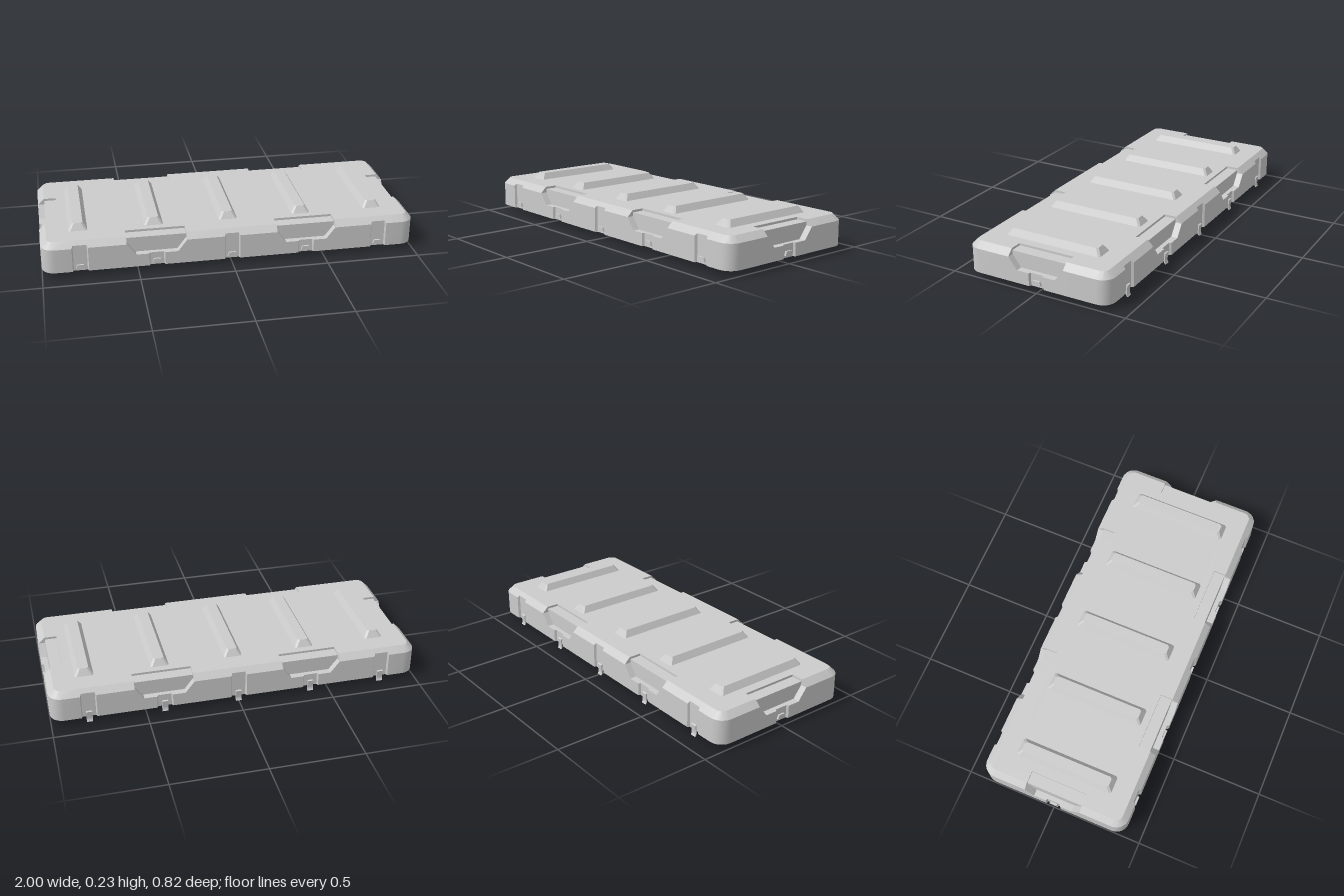
import * as THREE from 'three';
import { toCreasedNormals } from 'three/addons/utils/BufferGeometryUtils.js';

const HX = 1, HZ = 0.411, R = 0.07;          // half sizes and corner radius
const BOTTOM = 0.03, TOP = 0.195, SHOULDER = 0.163, BEVEL = 0.033;
const WALL = 0.02, GROOVE = 0.012;
const POCKET = { floor: 0.1, ledge: 0.183, face: 0.036, depth: 0.1 };
const STOPS = [-0.8, -0.4, 0, 0.4, 0.8];

const material = new THREE.MeshStandardMaterial({ color: 0xcccccc, roughness: 0.8 });

function addMesh(parent, geometry, name) {
  const mesh = new THREE.Mesh(geometry, material);
  mesh.name = name;
  parent.add(mesh);
  return mesh;
}

// Join equal-length loops of points into a skin, dropping empty triangles
function skin(rows, closed, flip = false) {
  const out = [], tri = new THREE.Triangle();
  const put = (a, b, c) => {
    tri.set(a, b, c);
    if (tri.getArea() < 1e-9) return;
    for (const p of flip ? [a, c, b] : [a, b, c]) out.push(p.x, p.y, p.z);
  };
  const n = rows.length;
  for (let j = 0; j < (closed ? n : n - 1); j++) {
    const a = rows[j], b = rows[(j + 1) % n];
    for (let i = 0; i < a.length - 1; i++) {
      put(a[i], b[i], b[i + 1]);
      put(a[i], b[i + 1], a[i + 1]);
    }
  }
  const g = new THREE.BufferGeometry();
  g.setAttribute('position', new THREE.Float32BufferAttribute(out, 3));
  return toCreasedNormals(g, 0.45);
}

// Wall section as [inset, y], from bottom edge to top edge
function section(groove, floor) {
  const slope = BEVEL / (TOP - SHOULDER);
  if (floor === undefined) {
    const rim = [POCKET.face, TOP];
    return [[groove, BOTTOM], [groove, SHOULDER + groove / slope], [BEVEL, TOP], rim, rim, rim, rim];
  }
  const { ledge, face, depth } = POCKET;
  return [[groove, BOTTOM], [groove, floor], [groove, floor], [face, floor],
    [face, ledge], [depth, ledge], [depth, TOP]];
}

// Inner skin first (top to bottom), then outer skin (bottom to top)
function shellSection(groove, floor) {
  const outer = section(groove, floor);
  const inner = outer.map(([i, y], k) => [i + WALL, k ? y - WALL : y]).reverse();
  return [...inner, ...outer];
}

// Stations [offset, groove, pocket floor] for one latch stop
function stopStations(c, hasPocket) {
  const f = hasPocket ? POCKET.floor : undefined;
  const half = [[0.042, 0, f], [0.036, GROOVE, f]];
  if (hasPocket) half.unshift([0.158, 0, undefined], [0.158, 0, SHOULDER], [0.11, 0, f]);
  const left = half.map(([s, g, y]) => [c - s, g, y]);
  const right = half.map(([s, g, y]) => [c + s, g, y]).reverse();
  return [...left, ...right];
}

function shellRows() {
  const rows = [];
  const row = (base, n, groove, floor) => rows.push(shellSection(groove, floor).map(([i, y]) =>
    new THREE.Vector3(base.x - n.x * i, y, base.z - n.z * i)));
  for (let k = 0; k < 4; k++) {
    const a = k * Math.PI / 2;
    const n = new THREE.Vector3(Math.round(Math.sin(a)), 0, Math.round(Math.cos(a)));
    const t = new THREE.Vector3(n.z, 0, -n.x);
    const long = k % 2 === 0;
    const D = long ? HZ : HX, L = long ? HX : HZ;
    const at = s => n.clone().multiplyScalar(D).addScaledVector(t, s);
    const stops = long ? STOPS : [0];
    for (const c of stops) {
      const hasPocket = !long || Math.abs(c) === 0.4;
      for (const [s, g, f] of stopStations(c, hasPocket)) row(at(s), n, g, f);
    }
    // Rounded corner
    const centre = n.clone().multiplyScalar(D - R).addScaledVector(t, L - R);
    for (let i = 0; i <= 6; i++) {
      const b = i / 6 * Math.PI / 2;
      const d = n.clone().multiplyScalar(Math.cos(b)).addScaledVector(t, Math.sin(b));
      row(centre.clone().addScaledVector(d, R), d, 0);
    }
  }
  return rows;
}

// Rectangle with clipped corners
function ribLoop(cx, hw, hl, y) {
  const c = 0.01;
  return [[hw, hl - c], [hw, c - hl], [hw - c, -hl], [c - hw, -hl],
    [-hw, c - hl], [-hw, hl - c], [c - hw, hl], [hw - c, hl]]
    .map(([x, z]) => new THREE.Vector3(cx + x, y, z));
}

function flatPanel(loop, holes, y, flip) {
  const to2 = p => new THREE.Vector2(p.x, -p.z);
  const pts = loop.filter((p, i) => p.distanceTo(loop[(i + 1) % loop.length]) > 1e-6).map(to2);
  const shape = new THREE.Shape(pts);
  shape.holes = holes.map(h => new THREE.Path(h.map(to2)));
  const g = new THREE.ShapeGeometry(shape).rotateX(-Math.PI / 2).translate(0, y, 0);
  if (flip) {
    g.index.array.reverse();
    const nrm = g.attributes.normal;
    for (let i = 0; i < nrm.count; i++) nrm.setY(i, -1);
  }
  return g;
}

// Hollow raised rib: skin of one side
function ribSkin(cx, grow, drop, flip) {
  const base = ribLoop(cx, 0.05 - grow, 0.273 - grow, TOP - drop);
  const top = ribLoop(cx, 0.028 - grow / 2, 0.25 - grow, 0.23 - drop);
  const mid = new THREE.Vector3(cx, 0.23 - drop, 0);
  return skin(base.map((p, i) => [p, top[i], mid]), true, flip);
}

// Small tapered catch inside a groove
function catchGeometry() {
  const shape = new THREE.Shape([[-0.026, 0.043], [0.026, 0.043], [0.018, 0.065], [-0.018, 0.065]]
    .map(p => new THREE.Vector2(...p)));
  const g = new THREE.ExtrudeGeometry(shape, { depth: 0.012, bevelEnabled: false });
  return g.translate(0, 0, -GROOVE - 0.002);
}

// Curved hinge strap hanging below the back edge
function hingeGeometry() {
  const shape = new THREE.Shape();
  shape.moveTo(-0.016, 0.065);
  shape.lineTo(-0.004, 0.06);
  shape.lineTo(-0.008, 0.02);
  shape.quadraticCurveTo(-0.008, 0.008, -0.002, 0);
  shape.lineTo(-0.007, 0);
  shape.quadraticCurveTo(-0.014, 0.008, -0.014, 0.02);
  shape.closePath();
  const g = new THREE.ExtrudeGeometry(shape, { depth: 0.032, bevelEnabled: false, curveSegments: 5 });
  return g.translate(0, 0, -0.016).rotateY(-Math.PI / 2);
}

export function createModel() {
  const model = new THREE.Group();
  model.name = 'caseLid';

  // Walls with pockets and grooves, inside and out
  const rows = shellRows();
  addMesh(model, skin(rows, true), 'lidWall');

  // Top panel and its underside, opened beneath the ribs
  const topHoles = STOPS.map(x => ribLoop(x, 0.05, 0.273, 0));
  const underHoles = STOPS.map(x => ribLoop(x, 0.044, 0.267, 0));
  addMesh(model, flatPanel(rows.map(r => r[r.length - 1]), topHoles, TOP, false), 'topPanel');
  addMesh(model, flatPanel(rows.map(r => r[0]), underHoles, TOP - WALL, true), 'topPanelUnderside');

  // Ribs, front catches and back hinges
  const catchShape = catchGeometry(), hingeShape = hingeGeometry();
  for (const x of STOPS) {
    addMesh(model, ribSkin(x, 0, 0, true), 'rib').geometry = orient(ribSkin, x, 0, 0, 1);
    addMesh(model, orient(ribSkin, x, 0.006, WALL, -1), 'ribUnderside');
    addMesh(model, catchShape, 'frontCatch').position.set(x, 0, HZ);
    const hinge = addMesh(model, hingeShape, 'backHinge');
    hinge.rotation.y = Math.PI;
    hinge.position.set(x, 0, -HZ);
  }

  // Catches at both ends
  for (const side of [-1, 1]) {
    const end = addMesh(model, catchShape, 'endCatch');
    end.rotation.y = side * Math.PI / 2;
    end.position.x = side * HX;
  }
  return model;
}

// Pick the winding whose top faces up (sign 1) or down (sign -1)
function orient(make, x, grow, drop, sign) {
  const g = make(x, grow, drop, false);
  const n = g.attributes.normal;
  let sum = 0;
  for (let i = 0; i < n.count; i++) sum += n.getY(i);
  return sum * sign > 0 ? g : make(x, grow, drop, true);
}
